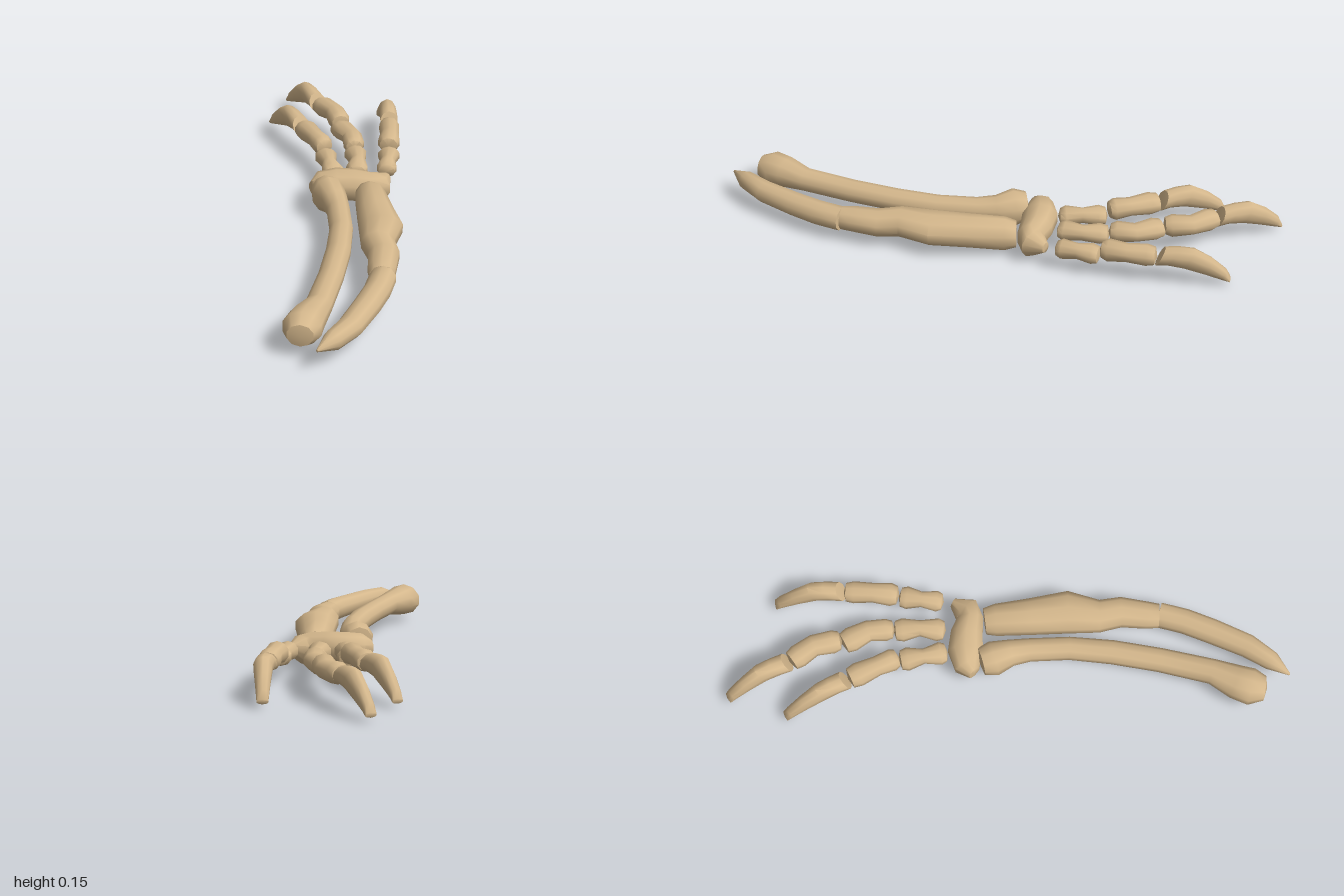
import * as THREE from 'three';
import { toCreasedNormals } from 'three/addons/utils/BufferGeometryUtils.js';

const SIDES = 10;

// Lofts oval rings along a path. Each section is [x, z, halfWidth, yBottom, yTop, tilt];
// tilt leans the top of the ring forward along the path. Bulge rounds the two ends.
function loft(sections, bulge = 0.008) {
  const pos = [], index = [], n = sections.length;
  const dir = (i) => {
    const a = sections[Math.max(i - 1, 0)], b = sections[Math.min(i + 1, n - 1)];
    return new THREE.Vector2(b[0] - a[0], b[1] - a[1]).normalize();
  };
  sections.forEach(([x, z, w, y0, y1, tilt = 0], i) => {
    const t = dir(i);
    for (let j = 0; j < SIDES; j++) {
      const a = (j + 0.5) / SIDES * Math.PI * 2, c = Math.cos(a) * w, s = Math.sin(a);
      pos.push(x + t.y * c + t.x * tilt * s, (y0 + y1) / 2 + s * (y1 - y0) / 2, z - t.x * c + t.y * tilt * s);
    }
  });
  for (const [i, sign] of [[0, -1], [n - 1, 1]]) {
    const [x, z, , y0, y1] = sections[i], t = dir(i);
    pos.push(x + t.x * bulge * sign, (y0 + y1) / 2, z + t.y * bulge * sign);
  }
  for (let j = 0; j < SIDES; j++) {
    const k = (j + 1) % SIDES, end = (n - 1) * SIDES;
    for (let i = 0; i < n - 1; i++) {
      const a = i * SIDES + j, b = i * SIDES + k;
      index.push(a, b, b + SIDES, a, b + SIDES, a + SIDES);
    }
    index.push(n * SIDES, k, j, n * SIDES + 1, end + j, end + k);
  }
  const geo = new THREE.BufferGeometry();
  geo.setAttribute('position', new THREE.Float32BufferAttribute(pos, 3));
  geo.setIndex(index);
  return toCreasedNormals(geo, 0.9);
}

// Finger bone with flared ends and a narrower shaft, through three [x, z, halfWidth] points
function phalanx(a, m, b, y0, y1) {
  const mix = (p, q, f) => p.map((v, i) => v + (q[i] - v) * f);
  const [p, q] = [mix(a, m, 0.25), mix(b, m, 0.3)];
  return loft([
    [a[0], a[1], a[2] * 0.8, y0 + 0.01, y1 - 0.01],
    [p[0], p[1], a[2], y0, y1],
    [m[0], m[1], m[2], y0 + 0.008, y1 - 0.006],
    [q[0], q[1], b[2], y0 + 0.002, y1],
    [b[0], b[1], b[2] * 0.85, y0 + 0.008, y1 - 0.008],
  ]);
}

// Claw that arches up from a slanted base and hooks down to a blunt tip
function claw(a, m, b) {
  const at = (p, q, f) => [p[0] + (q[0] - p[0]) * f, p[1] + (q[1] - p[1]) * f, p[2] + (q[2] - p[2]) * f];
  return loft([
    [...at(a, m, 0.1), 0.07, 0.14, 0.017],
    [...at(a, m, 0.5), 0.075, 0.147, 0.02],
    [...m, 0.068, 0.146, 0.02],
    [...at(m, b, 0.45), 0.045, 0.11, 0.015],
    [...at(m, b, 0.85), 0.023, 0.062, 0.01],
    [...b, 0.015, 0.032, 0.002],
  ], 0.003);
}

export function createModel() {
  const model = new THREE.Group();
  const bone = new THREE.MeshStandardMaterial({ color: 0xd4b78c });
  bone.name = 'bone';
  const add = (parent, name, geo) => {
    const mesh = new THREE.Mesh(geo, bone);
    mesh.name = name;
    parent.add(mesh);
  };

  // Forearm
  add(model, 'longForearmBone', loft([
    [-0.035, -0.08, 0.05, 0.03, 0.135],
    [-0.03, -0.035, 0.062, 0.01, 0.15],
    [-0.02, 0.03, 0.048, 0.03, 0.13],
    [-0.022, 0.1, 0.042, 0.038, 0.122],
    [-0.042, 0.24, 0.042, 0.04, 0.12],
    [-0.085, 0.39, 0.044, 0.04, 0.12],
    [-0.145, 0.55, 0.044, 0.04, 0.12],
    [-0.222, 0.725, 0.046, 0.04, 0.122],
    [-0.275, 0.8, 0.062, 0.025, 0.135],
    [-0.303, 0.85, 0.067, 0.018, 0.14],
    [-0.318, 0.895, 0.045, 0.04, 0.12],
  ]));
  add(model, 'upperForearmBone', loft([
    [0.12, -0.04, 0.048, 0.02, 0.115],
    [0.118, 0, 0.058, 0.008, 0.13],
    [0.105, 0.13, 0.068, 0.018, 0.132],
    [0.095, 0.26, 0.08, 0.028, 0.136],
    [0.058, 0.37, 0.06, 0.032, 0.136],
    [0.06, 0.45, 0.056, 0.034, 0.13],
    [0.032, 0.54, 0.05, 0.036, 0.124],
    [0.022, 0.582, 0.044, 0.038, 0.12],
  ], 0));
  add(model, 'lowerForearmBone', loft([
    [0.026, 0.583, 0.046, 0.034, 0.12],
    [-0.015, 0.67, 0.046, 0.034, 0.12],
    [-0.07, 0.757, 0.046, 0.036, 0.118],
    [-0.15, 0.872, 0.043, 0.04, 0.117],
    [-0.222, 0.943, 0.034, 0.045, 0.115],
    [-0.283, 0.994, 0.004, 0.075, 0.085],
  ], 0.002));

  // Wrist
  add(model, 'wristBone', loft([
    [-0.068, -0.112, 0.025, 0.04, 0.1],
    [-0.04, -0.13, 0.05, 0.022, 0.122],
    [0.02, -0.128, 0.066, 0.015, 0.128],
    [0.085, -0.112, 0.06, 0.008, 0.127],
    [0.14, -0.09, 0.05, 0.0, 0.122],
    [0.175, -0.098, 0.052, 0.012, 0.115],
    [0.21, -0.14, 0.018, 0.05, 0.09],
  ], 0.003));

  // Fingers: joints given as three [x, z, halfWidth] points each, claw last
  const fingers = {
    rightFinger: [
      [[0.025, -0.2, 0.042], [0.025, -0.28, 0.027], [0.025, -0.362, 0.043]],
      [[0.027, -0.375, 0.04], [0.01, -0.45, 0.036], [-0.018, -0.552, 0.044]],
      [[-0.02, -0.56, 0.036], [-0.05, -0.66, 0.033], [-0.09, -0.803, 0.019]],
    ],
    middleFinger: [
      [[0.11, -0.192, 0.042], [0.133, -0.275, 0.029], [0.14, -0.362, 0.043]],
      [[0.142, -0.373, 0.04], [0.152, -0.46, 0.039], [0.122, -0.553, 0.046]],
      [[0.13, -0.566, 0.042], [0.128, -0.66, 0.04], [0.085, -0.747, 0.043]],
      [[0.084, -0.753, 0.036], [0.058, -0.86, 0.033], [0.015, -0.995, 0.02]],
    ],
    leftFinger: [
      [[0.22, -0.18, 0.038], [0.242, -0.25, 0.028], [0.265, -0.322, 0.042]],
      [[0.265, -0.335, 0.042], [0.29, -0.42, 0.036], [0.31, -0.515, 0.04]],
      [[0.313, -0.522, 0.035], [0.332, -0.63, 0.033], [0.341, -0.775, 0.02]],
    ],
  };
  for (const [name, joints] of Object.entries(fingers)) {
    const finger = new THREE.Group();
    finger.name = name;
    joints.forEach((joint, i) => {
      if (i === joints.length - 1) add(finger, name + 'Claw', claw(...joint));
      else {
        const lift = 0.03 * i / (joints.length - 2);
        add(finger, name + 'Bone' + (i + 1), phalanx(...joint, 0.042 + lift * 0.7, 0.112 + lift));
      }
    });
    model.add(finger);
  }
  return model;
}
